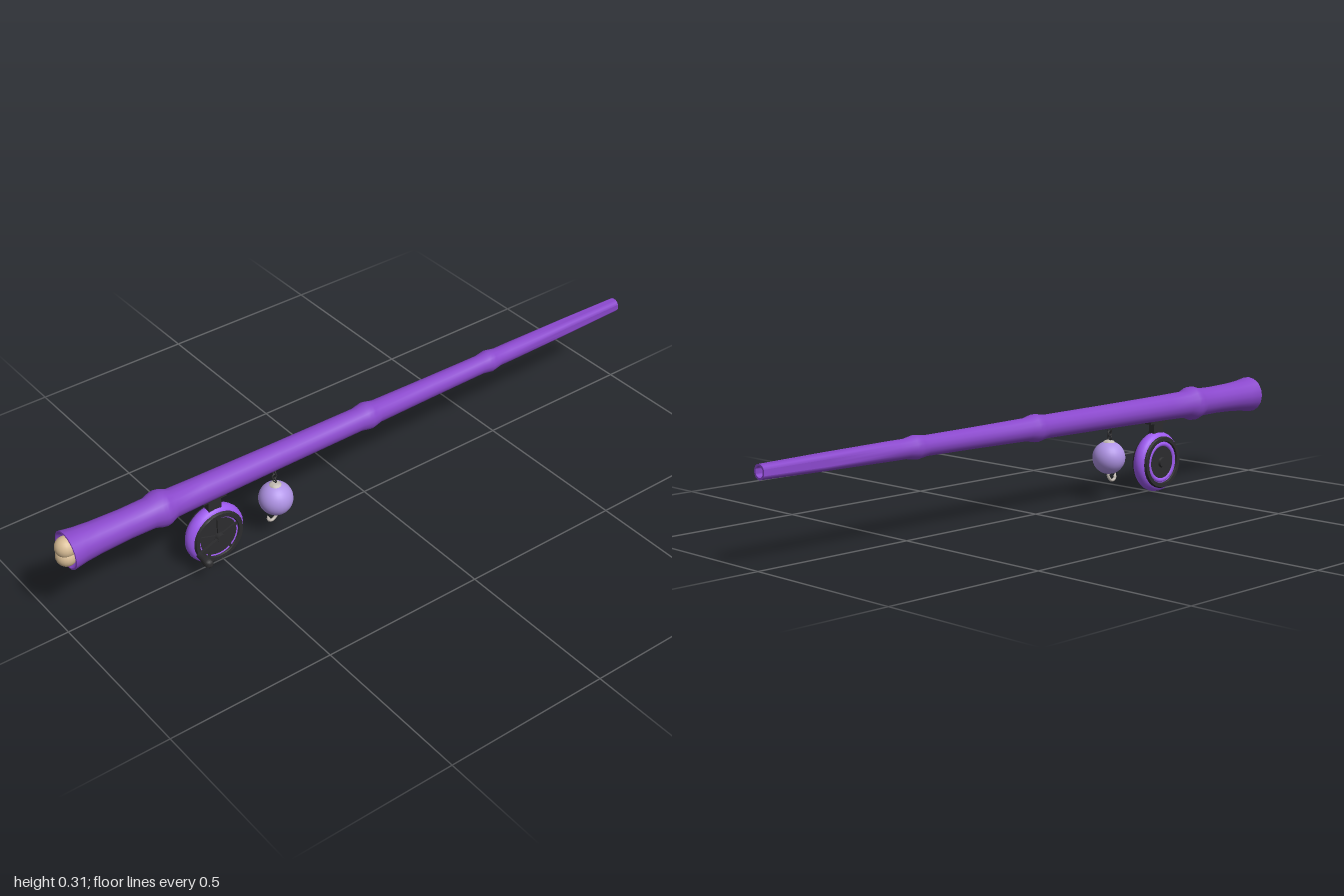
import * as THREE from 'three';
import { toCreasedNormals } from 'three/addons/utils/BufferGeometryUtils.js';

const mat = (color) => new THREE.MeshStandardMaterial({ color });
const purple = mat(0x8a48cc), bright = mat(0x9c58ee), lilac = mat(0xb094e6);
const dark = mat(0x2c2c2e), tan = mat(0xd8bd96), bone = mat(0xc4bcb4);

function add(parent, name, geometry, material, x = 0, y = 0, z = 0) {
  const mesh = new THREE.Mesh(geometry, material);
  mesh.name = name;
  mesh.position.set(x, y, z);
  parent.add(mesh);
  return mesh;
}

// Turned solid from [radius, height] pairs, creased at sharp corners
function turned(pairs, sides, crease = 0.7) {
  const points = pairs.map(([r, h]) => new THREE.Vector2(r, h));
  return toCreasedNormals(new THREE.LatheGeometry(points, sides), crease);
}

const AXIS_X = -0.016;

function createRod() {
  const rod = new THREE.Group();
  rod.name = 'rod';
  rod.position.set(AXIS_X, 0.259, 0);

  // Tapering bamboo pole with swollen joints, hollow at both ends
  const profile = [[0, -0.95], [0.014, -0.95], [0.015, -1], [0.021, -1], [0.025, -0.8], [0.028, -0.56]];
  const joint = (z, before, peak, after) => profile.push(
    [before, z - 0.035], [peak - 0.002, z - 0.013], [peak, z], [peak - 0.002, z + 0.013], [after, z + 0.035]);
  joint(-0.48, 0.028, 0.034, 0.029);
  profile.push([0.031, -0.25]);
  joint(-0.02, 0.034, 0.041, 0.035);
  profile.push([0.037, 0.3], [0.04, 0.55]);
  joint(0.68, 0.042, 0.053, 0.044);
  profile.push([0.043, 0.79], [0.046, 0.88], [0.05, 0.93], [0.056, 0.97], [0.052, 0.971], [0.042, 0.95]);
  add(rod, 'bambooPole', turned(profile, 16, 0.9).rotateX(Math.PI / 2), purple);

  // Butt plug with two round beads
  add(rod, 'buttPlug', new THREE.CircleGeometry(0.0425, 16), tan, 0, 0, 0.951);
  for (const side of [1, -1]) {
    add(rod, 'buttBead', new THREE.SphereGeometry(0.03, 20, 14), tan, 0, side * 0.0145 - 0.002, 0.97);
  }
  return rod;
}

function createReel() {
  const reel = new THREE.Group();
  reel.name = 'reel';
  reel.position.set(AXIS_X, 0.095, 0.515);
  const sideways = -Math.PI / 2; // turns +y to +x

  // Padded tyre and solid core
  add(reel, 'reelTyre', new THREE.TorusGeometry(0.069, 0.024, 16, 36).rotateY(Math.PI / 2), bright);
  add(reel, 'reelCore', new THREE.CylinderGeometry(0.07, 0.07, 0.034, 32).rotateZ(sideways), dark);

  // Raised flanges on both faces
  for (const side of [1, -1]) {
    const flange = turned([[0.064, 0], [0.08, 0], [0.08, 0.025], [0.077, 0.029], [0.066, 0.029], [0.064, 0.026], [0.064, 0]], 32);
    add(reel, 'reelFlange', flange.rotateZ(side * sideways), dark);
  }

  // Crank face: plate, spokes and hub
  add(reel, 'spokePlate', new THREE.CylinderGeometry(0.066, 0.066, 0.006, 32).rotateZ(sideways), dark, 0.019);
  for (let i = 0; i < 5; i++) {
    const spoke = new THREE.BoxGeometry(0.006, 0.056, 0.009).translate(0, 0.038, 0);
    add(reel, 'spoke', spoke, dark, 0.024).rotation.x = (i * Math.PI * 2) / 5;
  }
  add(reel, 'crankHub', new THREE.CylinderGeometry(0.013, 0.015, 0.018, 16).rotateZ(sideways), dark, 0.03);

  // Plain face: coloured ring, cover and knob
  add(reel, 'faceRing', new THREE.TorusGeometry(0.056, 0.008, 10, 32).rotateY(Math.PI / 2), bright, -0.018);
  add(reel, 'faceCover', new THREE.CylinderGeometry(0.05, 0.05, 0.008, 32).rotateZ(sideways), dark, -0.019);
  add(reel, 'faceKnob', new THREE.CylinderGeometry(0.018, 0.014, 0.01, 16).rotateZ(sideways), dark, -0.024);

  // Crank arm reaching down and forward to the handle
  const end = new THREE.Vector2(-0.028, 0.07); // y, z of handle
  const arm = new THREE.BoxGeometry(0.008, 0.016, end.length() + 0.012);
  add(reel, 'crankArm', arm, dark, 0.034, end.x / 2, end.y / 2).rotation.x = Math.atan2(-end.x, end.y);
  const grip = turned([[0, 0], [0.01, 0], [0.01, 0.022], [0.013, 0.03], [0.0135, 0.044], [0.011, 0.053], [0.006, 0.057], [0, 0.058]], 16);
  add(reel, 'crankHandle', grip.rotateZ(sideways), dark, 0.03, end.x, end.y);

  // Foot joining the reel to the pole
  add(reel, 'reelFoot', new THREE.BoxGeometry(0.022, 0.05, 0.042), dark, 0.002, 0.107, 0);
  add(reel, 'footPlate', new THREE.BoxGeometry(0.026, 0.012, 0.075), dark, 0.002, 0.125, 0);
  return reel;
}

function createLure() {
  const lure = new THREE.Group();
  lure.name = 'lure';
  lure.position.set(0, 0.13, 0.315);
  add(lure, 'lureBall', new THREE.SphereGeometry(0.05, 28, 20), lilac);
  add(lure, 'lureCap', turned([[0.019, 0.045], [0.016, 0.05], [0.006, 0.054], [0, 0.055]], 16), bone);

  // Short chain up to the pole
  for (let i = 0; i < 3; i++) {
    const link = new THREE.TorusGeometry(0.0075, 0.0022, 8, 14);
    add(lure, 'chainLink', link, dark, -0.003, 0.061 + i * 0.0125, 0).rotation.y = (i % 2) * Math.PI / 2;
  }

  // Curled hook beneath the ball, with tapering point
  const path = new THREE.CatmullRomCurve3([
    [-0.045, 0], [-0.056, -0.002], [-0.066, 0.004], [-0.072, 0.014], [-0.069, 0.025], [-0.06, 0.029],
  ].map(([y, z]) => new THREE.Vector3(0, y, z)));
  add(lure, 'hook', new THREE.TubeGeometry(path, 24, 0.0045, 8), bone);
  const tip = add(lure, 'hookPoint', new THREE.ConeGeometry(0.0055, 0.014, 8), bone, 0, -0.055, 0.029);
  tip.rotation.x = 0.2;
  return lure;
}

export function createModel() {
  const model = new THREE.Group();
  model.name = 'fishingRod';
  model.add(createRod(), createReel(), createLure());
  return model;
}
